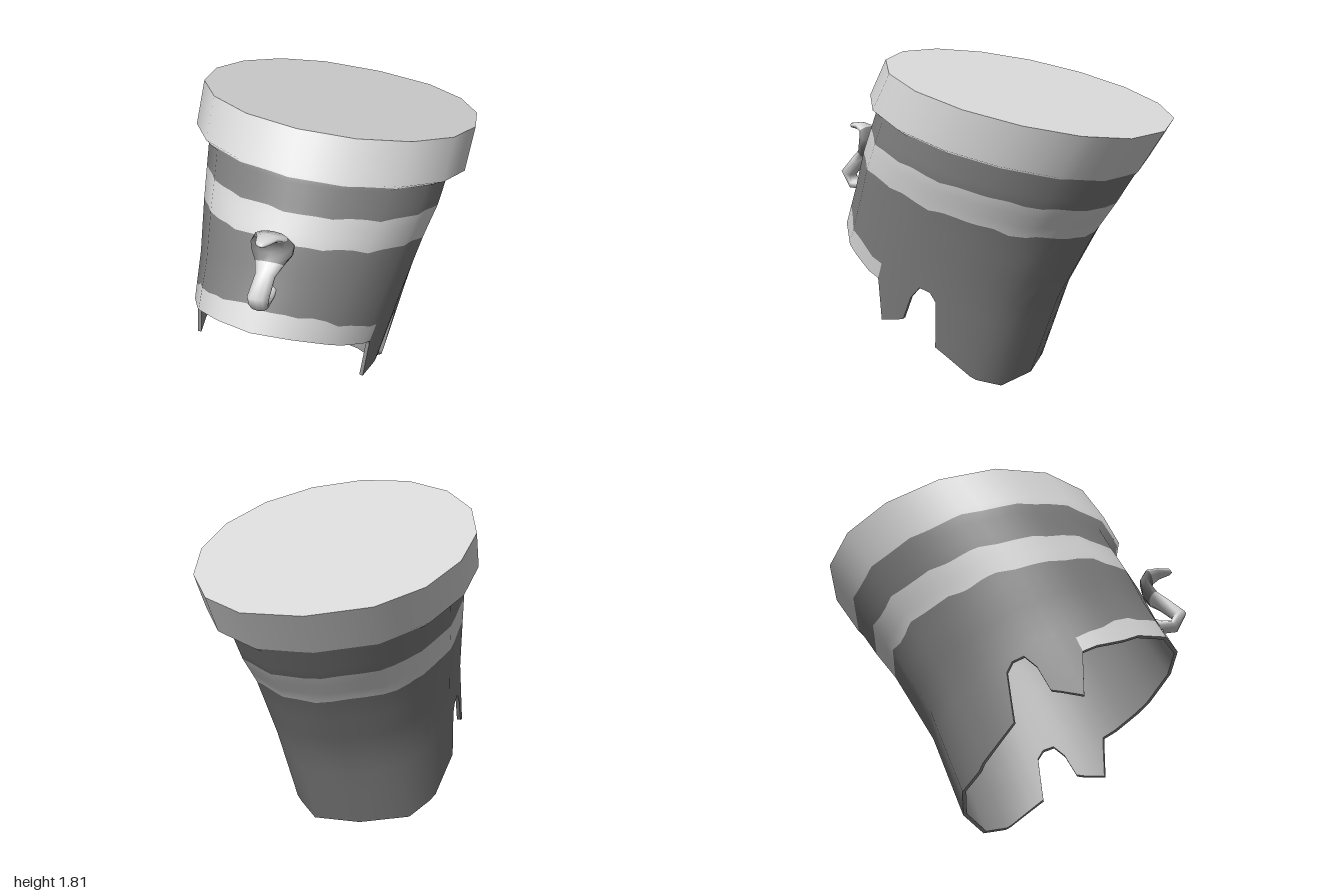
import * as THREE from 'three';

const SIDES = 16, STEP = 2 * Math.PI / SIDES, RAD = Math.PI / 180;
const mat = (name, color) => {
  const m = new THREE.MeshStandardMaterial({ color, side: THREE.DoubleSide });
  m.name = name;
  return m;
};

// A tilted oval ring: [x left, x right, z front, y front, z back, y back, roundness of the back]
const TOP = [-0.725, 0.72, 0.54, 1.78, -1.0, 1.39, 0.85];
const RIM = [-0.73, 0.70, 0.65, 1.59, -0.86, 1.18, 0.85];
const NECK = [-0.66, 0.61, 0.62, 1.53, -0.83, 1.15, 0.85];
const BODY = [
  NECK,
  [-0.652, 0.585, 0.68, 1.40, -0.73, 1.0, 0.85],
  [-0.64, 0.535, 0.75, 1.26, -0.61, 0.84, 0.85],
  [-0.62, 0.455, 0.83, 1.06, -0.38, 0.45, 0.75],
  [-0.625, 0.37, 0.94, 0.83, -0.2, 0, 0.65],
];
const CENTRE = [0, 0, -0.23, 1.585, -0.23, 1.585, 1];

// Lower edge: [angle from the front in degrees, height above the bottom ring]
const EDGE = [[0, 0], [53, 0.13], [74, 0.25], [82, -0.33], [93.5, 0.02], [94.5, 0.42],
  [97.5, 0.65], [103, 0.68], [107, 0.6], [110, 0.3], [113, 0], [140, -0.1], [180, 0]];

function edgeRow(a) {
  const d = Math.min(180, Math.abs(a) / RAD);
  let i = 0;
  while (i < EDGE.length - 2 && d > EDGE[i + 1][0]) i++;
  const [d0, s0] = EDGE[i], [d1, s1] = EDGE[i + 1];
  return 4 - (s0 + (s1 - s0) * (d - d0) / (d1 - d0));
}

const angles = [];
{
  const half = new Set(EDGE.map(e => e[0]));
  for (let d = 0; d <= 180; d += 7.5) half.add(d);
  half.forEach(d => { angles.push(d * RAD); if (d > 0) angles.push(-d * RAD); });
  angles.sort((a, b) => a - b);
}

function oval(ring, a) {
  const [xl, xr, zf, yf, zb, yb, power] = ring;
  const c = Math.cos(a), sin = Math.sin(a), rx = (xr - xl) / 2;
  const s = c < 0 ? Math.sign(sin) * Math.abs(sin) ** power : sin;
  return new THREE.Vector3((xl + xr) / 2 + rx * s,
    (yf + yb) / 2 + (yf - yb) / 2 * c - 0.095 * rx * s,
    (zf + zb) / 2 + (zf - zb) / 2 * c);
}
function facetOval(ring, a) {
  const k = Math.floor(a / STEP + 1e-6);
  return oval(ring, k * STEP).lerp(oval(ring, (k + 1) * STEP), a / STEP - k);
}
// Point on the wall through a list of rings, at fractional row f
function wall(rings, f, a, ovalFn = facetOval) {
  const i = Math.max(0, Math.min(rings.length - 2, Math.floor(f)));
  return ovalFn(rings[i], a).lerp(ovalFn(rings[i + 1], a), f - i);
}
function wallNormal(rings, f, a) {
  const down = wall(rings, f + 0.3, a, oval).sub(wall(rings, f - 0.3, a, oval));
  const across = wall(rings, f, a + 0.1, oval).sub(wall(rings, f, a - 0.1, oval));
  return down.cross(across).normalize();
}

// Grid of rows by columns; point(v, a) returns [position, normal]
function grid(point, rows, cols, flip = false) {
  const pos = [], nor = [], index = [], n = cols.length;
  for (let r = 0; r <= rows; r++) for (const a of cols) {
    const [p, q] = point(r / rows, a);
    pos.push(p.x, p.y, p.z);
    nor.push(q.x, q.y, q.z);
  }
  for (let r = 0; r < rows; r++) for (let j = 0; j < n - 1; j++) {
    const a = r * n + j, b = a + 1, c = a + n, d = c + 1;
    if (flip) index.push(a, b, c, b, d, c);
    else index.push(a, c, b, b, c, d);
  }
  const g = new THREE.BufferGeometry();
  g.setAttribute('position', new THREE.Float32BufferAttribute(pos, 3));
  g.setAttribute('normal', new THREE.Float32BufferAttribute(nor, 3));
  g.setIndex(index);
  return g;
}

function patch(rings, from, to, cols = angles, rows = 3, normal = wallNormal) {
  return grid((v, a) => {
    const f = from(a) + (to(a) - from(a)) * v;
    return [wall(rings, f, a), normal(rings, f, a)];
  }, rows, cols);
}

// Ornament stations: [x, y, z, half width, half thickness]
const HOOK = [
  [-0.06, 1.345, 0.935, 0.004, 0.003], [-0.06, 1.35, 0.92, 0.03, 0.015],
  [-0.05, 1.35, 0.86, 0.055, 0.022], [-0.05, 1.33, 0.81, 0.085, 0.028],
  [-0.05, 1.28, 0.79, 0.115, 0.033], [-0.05, 1.235, 0.80, 0.108, 0.035],
  [-0.055, 1.19, 0.83, 0.075, 0.037], [-0.06, 1.15, 0.88, 0.05, 0.038],
  [-0.07, 1.07, 0.96, 0.055, 0.04], [-0.08, 1.005, 0.93, 0.052, 0.03],
  [-0.08, 1.005, 0.86, 0.05, 0.032], [-0.07, 1.04, 0.79, 0.05, 0.03],
];
function hookGeometry() {
  const n = 10, pos = [], index = [], g = new THREE.BufferGeometry();
  HOOK.forEach(([x, y, z, w, t], i) => {
    const p = HOOK[Math.max(0, i - 1)], q = HOOK[Math.min(HOOK.length - 1, i + 1)];
    const dy = q[1] - p[1], dz = q[2] - p[2], len = Math.hypot(dy, dz);
    for (let j = 0; j < n; j++) {
      const a = j / n * 2 * Math.PI, s = t * Math.cos(a);
      pos.push(x + w * Math.sin(a), y + s * dz / len, z - s * dy / len);
    }
  });
  for (let i = 0; i < HOOK.length - 1; i++) {
    const start = index.length;
    for (let j = 0; j < n; j++) {
      const a = i * n + j, b = i * n + (j + 1) % n;
      index.push(a, a + n, b, b, a + n, b + n);
    }
    g.addGroup(start, index.length - start, i >= 3 && i <= 5 ? 1 : 0);
  }
  g.setAttribute('position', new THREE.Float32BufferAttribute(pos, 3));
  g.setIndex(index);
  g.computeVertexNormals();
  return g;
}

export function createModel() {
  const model = new THREE.Group();
  const light = mat('light grey', 0xdadada), dark = mat('dark grey', 0x818181);
  const lining = mat('lining grey', 0x929292);
  const add = (name, geometry, material) => {
    const m = new THREE.Mesh(geometry, material);
    m.name = name;
    model.add(m);
  };
  const row = f => () => f;
  // Slightly ragged colour border
  const ragged = f => a => f + 0.025 * Math.sin(9 * a) + 0.02 * Math.sin(17 * a + 1);

  // Crown and rim, rounded softly into the wall
  const crown = patch([CENTRE, TOP], row(0), row(1), angles, 1, () => new THREE.Vector3(0, 1, 0));
  add('crown', crown.toNonIndexed(), light);
  model.children[0].geometry.computeVertexNormals();
  add('rim', patch([TOP, RIM], row(0), row(1)), light);
  const soft = (rings, f, a) => wallNormal([TOP, RIM], 1, a).lerp(wallNormal(BODY, 0, a), f).normalize();
  add('rimEdge', patch([RIM, NECK], row(0), ragged(0.35), angles, 1, soft), light);
  add('rimUnderside', patch([RIM, NECK], ragged(0.35), row(1), angles, 1, soft), dark);

  // Banded wall
  add('upperWall', patch(BODY, row(0), ragged(1)), dark);
  add('wallBand', patch(BODY, ragged(1), ragged(2)), light);
  add('middleWall', patch(BODY, ragged(2), row(3)), dark);

  // Lower wall with the face opening, cheek points and notches
  const limit = 74 * RAD + 1e-6;
  const front = angles.filter(a => Math.abs(a) <= limit);
  const left = angles.filter(a => a >= 74 * RAD - 1e-6);
  const right = angles.filter(a => a <= -74 * RAD + 1e-6);
  const browTop = ragged(3.5);
  add('brow', patch(BODY, row(3), browTop, front), dark);
  add('browBand', patch(BODY, browTop, edgeRow, front), light);
  add('leftLowerWall', patch(BODY, row(3), edgeRow, left, 4), dark);
  add('rightLowerWall', patch(BODY, row(3), edgeRow, right, 4), dark);

  // Lining and the lip that joins it to the wall
  const inset = (f, a, depth) =>
    wall(BODY, f, a).addScaledVector(wallNormal(BODY, f, a), -depth);
  add('lining', grid((v, a) => {
    const f = edgeRow(a) * v;
    return [inset(f, a, 0.02), wallNormal(BODY, f, a).negate()];
  }, 8, angles, true), lining);
  const lip = grid((v, a) => {
    const f = edgeRow(a);
    return [inset(f, a, 0.02 * v), wallNormal(BODY, f, a)];
  }, 1, angles);
  lip.computeVertexNormals();
  add('lip', lip, lining);

  // Curled front ornament
  add('frontOrnament', hookGeometry(), [light, dark]);
  return model;
}
